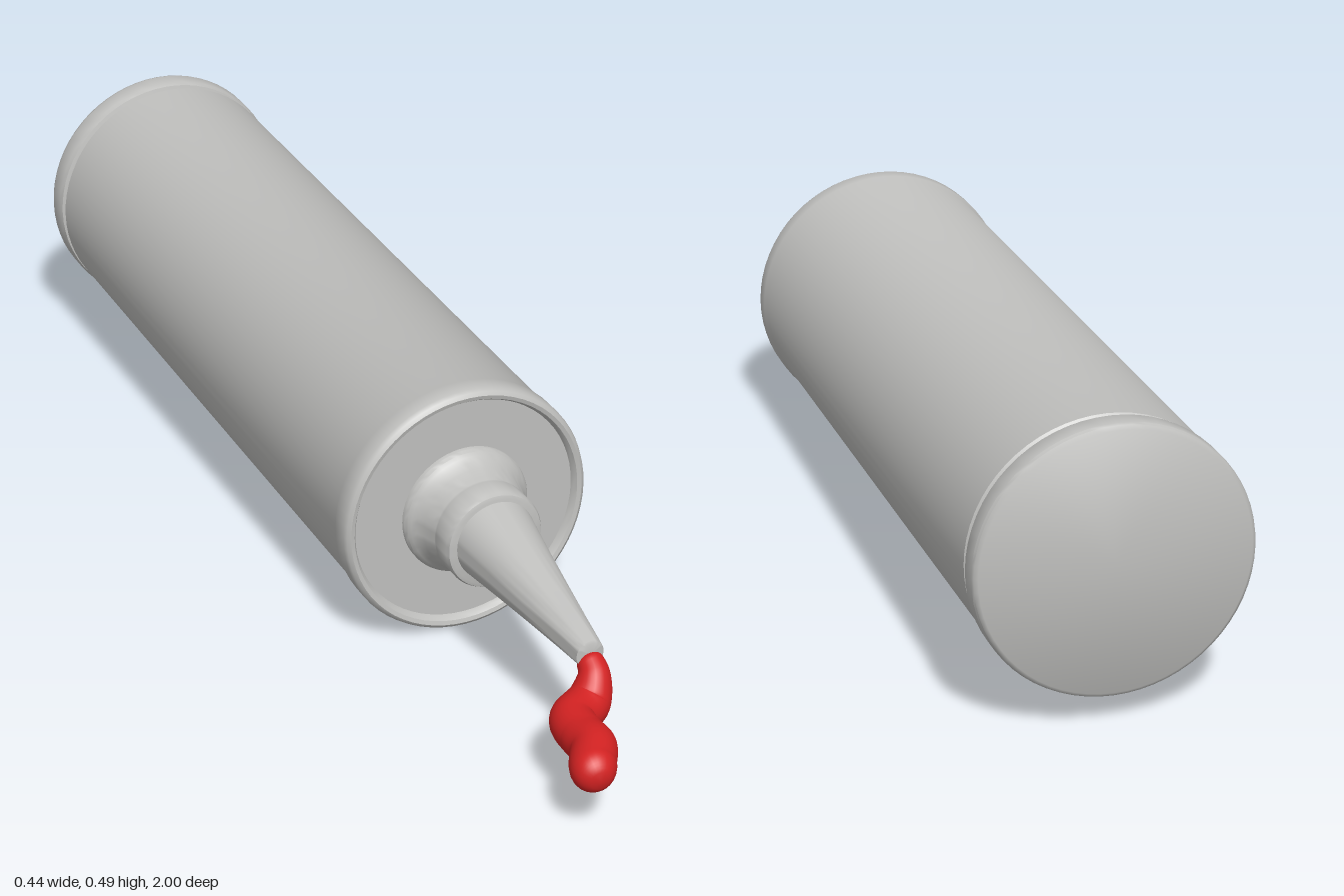
import * as THREE from 'three';
import { mergeVertices, toCreasedNormals } from 'three/addons/utils/BufferGeometryUtils.js';

const shell = new THREE.MeshStandardMaterial({ color: 0xbfbfbd });
shell.name = 'light grey plastic';
const paste = new THREE.MeshStandardMaterial({ color: 0xd32222 });
paste.name = 'red paste';

// Turned part along z from [radius, z] pairs (back to front); its axis follows y = offset + slope * z
function turned(name, profile, slope, offset, segments = 64) {
  const points = profile.map(([r, z]) => new THREE.Vector2(r, z));
  let geometry = new THREE.LatheGeometry(points, segments).rotateX(Math.PI / 2);
  geometry = toCreasedNormals(geometry, 0.7);
  geometry.applyMatrix4(new THREE.Matrix4().set(
    1, 0, 0, 0,
    0, 1, slope, offset,
    0, 0, 1, 0,
    0, 0, 0, 1));
  const mesh = new THREE.Mesh(geometry, shell);
  mesh.name = name;
  return mesh;
}

// Swept bead whose radius swells from the nozzle and closes with a round end
function pasteBead() {
  const path = new THREE.CatmullRomCurve3([
    [0, 0.183, 0.755], [0, 0.16, 0.782], [-0.018, 0.125, 0.8], [-0.062, 0.12, 0.83],
    [-0.07, 0.12, 0.88], [-0.074, 0.125, 0.92], [-0.097, 0.121, 0.962], [-0.103, 0.118, 1],
  ].map((p) => new THREE.Vector3(...p)));
  const rings = 90, sides = 24, full = 0.037;
  let geometry = new THREE.TubeGeometry(path, rings, 1, sides);
  const length = path.getLength();
  const pos = geometry.attributes.position;
  const v = new THREE.Vector3();
  for (let i = 0; i <= rings; i++) {
    const t = i / rings;
    const centre = path.getPointAt(t);
    const swell = 0.021 + (full - 0.021) * THREE.MathUtils.smoothstep(t, 0, 0.3);
    const start = Math.min(1, (t * length) / 0.015);
    const end = Math.min(1, ((1 - t) * length) / full);
    const radius = swell * Math.sqrt(1 - (1 - start) ** 2) * Math.sqrt(1 - (1 - end) ** 2);
    for (let j = 0; j <= sides; j++) {
      const k = i * (sides + 1) + j;
      v.fromBufferAttribute(pos, k).sub(centre).multiplyScalar(radius).add(centre);
      pos.setXYZ(k, v.x, v.y, v.z);
    }
  }
  geometry.deleteAttribute('uv');
  geometry.deleteAttribute('normal');
  geometry = mergeVertices(geometry, 1e-5);
  geometry.computeVertexNormals();
  const mesh = new THREE.Mesh(geometry, paste);
  mesh.name = 'pasteBead';
  return mesh;
}

export function createModel() {
  const group = new THREE.Group();
  group.name = 'cartridge';

  // Barrel with a grooved rear rim and a raised front lip round a recessed face
  group.add(turned('barrel', [
    [0, -0.998], [0.214, -1], [0.22, -0.996], [0.222, -0.99], [0.222, -0.958],
    [0.219, -0.951], [0.212, -0.949], [0.212, -0.943], [0.218, -0.938],
    [0.218, 0.29], [0.222, 0.298], [0.222, 0.328], [0.219, 0.336], [0.213, 0.34],
    [0.206, 0.338], [0.202, 0.332], [0.2, 0.326], [0, 0.326],
  ], -0.036, 0.236));

  // Flared collar
  group.add(turned('collar', [
    [0.114, 0.32], [0.114, 0.333], [0.111, 0.339], [0.106, 0.344], [0.1, 0.352], [0.094, 0.365],
    [0.089, 0.383], [0.086, 0.39], [0.087, 0.396], [0.087, 0.434], [0.084, 0.44],
    [0.078, 0.442], [0, 0.442],
  ], -0.036, 0.236));

  // Tapered nozzle, drooping toward its tip
  group.add(turned('nozzle', [
    [0.073, 0.43], [0.07, 0.446], [0.057, 0.53], [0.044, 0.62], [0.033, 0.7],
    [0.026, 0.755], [0.024, 0.768], [0.02, 0.77], [0, 0.77],
  ], -0.105, 0.269, 48));

  group.add(pasteBead());
  return group;
}
